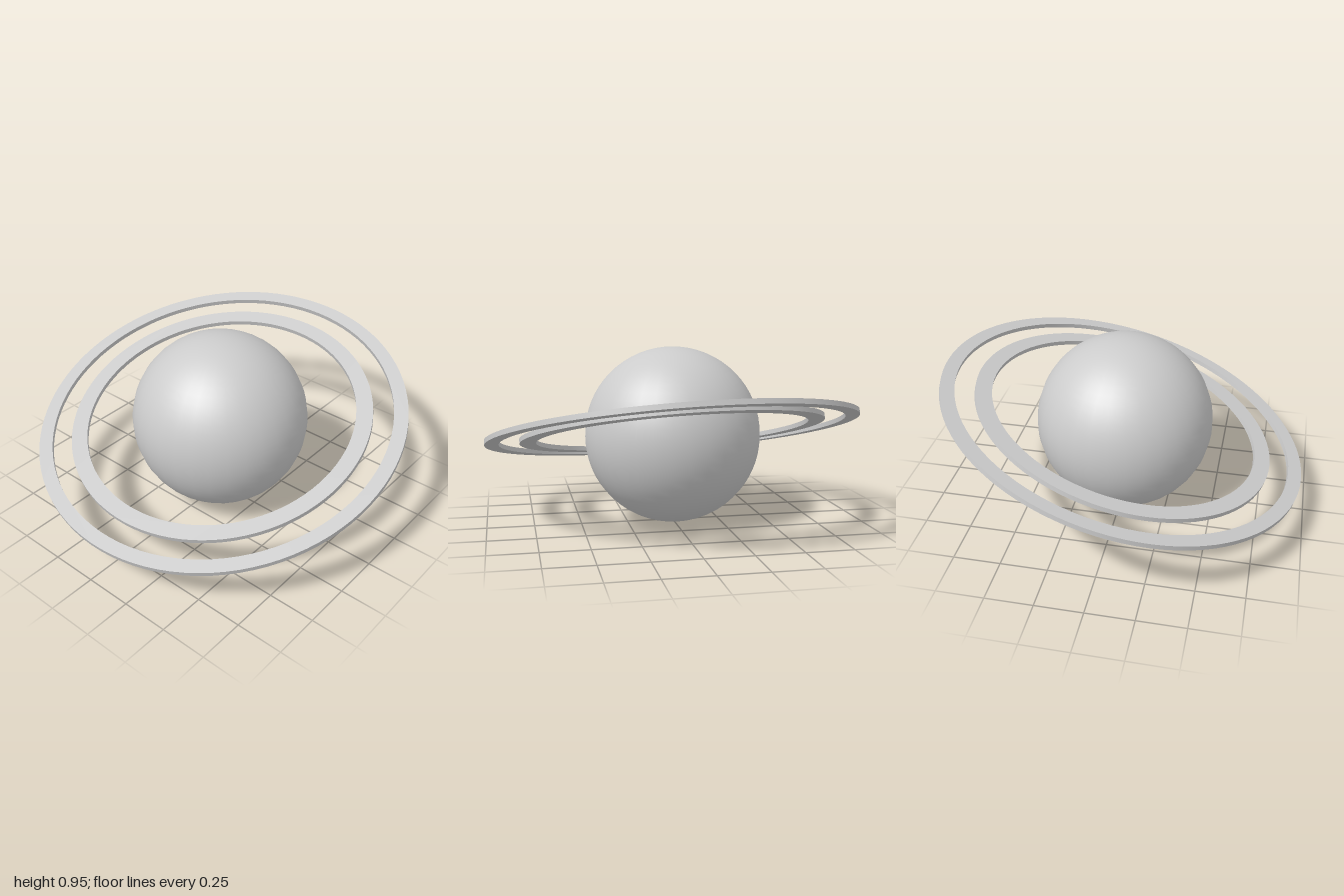
import * as THREE from 'three';
import { toCreasedNormals } from 'three/addons/utils/BufferGeometryUtils.js';

const material = new THREE.MeshStandardMaterial({ color: 0xcccccc });
const RADIUS = 0.473;
const THICKNESS = 0.025;

// Flat annulus lying in the xz plane, rising from y = 0
function makeRing(name, outer, inner) {
  const shape = new THREE.Shape().absarc(0, 0, outer, 0, Math.PI * 2, false);
  shape.holes.push(new THREE.Path().absarc(0, 0, inner, 0, Math.PI * 2, true));
  const geometry = new THREE.ExtrudeGeometry(shape, {
    depth: THICKNESS, bevelEnabled: false, curveSegments: 48,
  });
  geometry.rotateX(-Math.PI / 2);
  const mesh = new THREE.Mesh(toCreasedNormals(geometry, Math.PI / 6), material);
  mesh.name = name;
  return mesh;
}

export function createModel() {
  const model = new THREE.Group();
  model.name = 'ringedPlanet';

  // Globe
  const globe = new THREE.Mesh(new THREE.SphereGeometry(RADIUS, 32, 32), material);
  globe.name = 'globe';
  globe.position.y = RADIUS;
  model.add(globe);

  // Two concentric rings, tilted together
  const rings = new THREE.Group();
  rings.name = 'rings';
  rings.add(makeRing('outerRing', 1, 0.926), makeRing('innerRing', 0.819, 0.732));
  rings.position.y = RADIUS;
  rings.rotation.set(THREE.MathUtils.degToRad(1.85), 0, THREE.MathUtils.degToRad(15.8));
  model.add(rings);

  return model;
}
